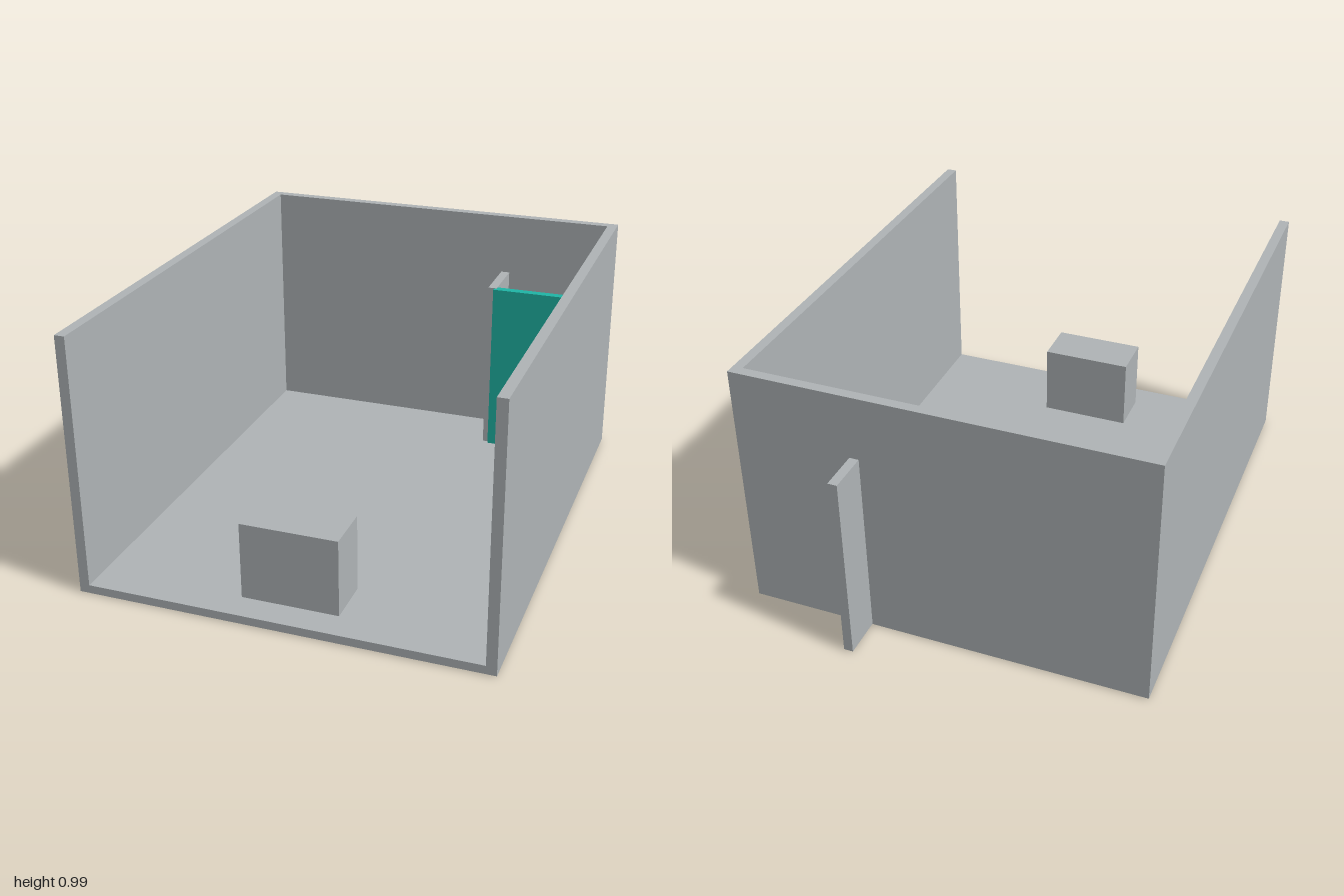
import * as THREE from 'three';

const grey = new THREE.MeshStandardMaterial({ color: 0xb0b5b7 });
grey.name = 'plaster grey';
const teal = new THREE.MeshStandardMaterial({ color: 0x1fb6a6 });
teal.name = 'door teal';

// Box given by its limits along each axis
function slab(name, material, [x0, x1], [y0, y1], [z0, z1]) {
  const mesh = new THREE.Mesh(new THREE.BoxGeometry(x1 - x0, y1 - y0, z1 - z0), material);
  mesh.position.set((x0 + x1) / 2, (y0 + y1) / 2, (z0 + z1) / 2);
  mesh.name = name;
  return mesh;
}

// One extruded outline of walls and floor, given as a list of corners
function extruded(name, corners, depth) {
  const shape = new THREE.Shape(corners.map(([a, b]) => new THREE.Vector2(a, b)));
  const mesh = new THREE.Mesh(new THREE.ExtrudeGeometry(shape, { depth, bevelEnabled: false }), grey);
  mesh.name = name;
  return mesh;
}

export function createModel() {
  const room = new THREE.Group();
  room.name = 'room';

  const W = 0.765, inner = 0.727, top = 0.985;
  const floorBottom = 0.003, floorTop = 0.035;
  const back = -0.843, backInner = -0.805, front = 1;

  // Floor, inset between the walls
  room.add(slab('floor', grey, [-inner, inner], [floorBottom, floorTop], [backInner, front]));

  // Side and back walls as one U-shaped plan, open at the front
  const walls = extruded('walls', [
    [-W, -front], [-inner, -front], [-inner, -backInner], [inner, -backInner],
    [inner, -front], [W, -front], [W, -back], [-W, -back],
  ], top - floorBottom);
  walls.rotation.x = -Math.PI / 2;
  walls.position.y = floorBottom;
  room.add(walls);

  // Counter near the open front
  room.add(slab('counter', grey, [-0.184, 0.18], [floorTop, 0.328], [0.705, 0.89]));

  // Partition running through the back wall, and the door beside it
  room.add(slab('partition', grey, [0.289, 0.324], [0.005, 0.74], [-1, -0.59]));
  room.add(slab('door', teal, [0.313, inner], [0, 0.738], [-0.61, -0.576]));

  return room;
}
